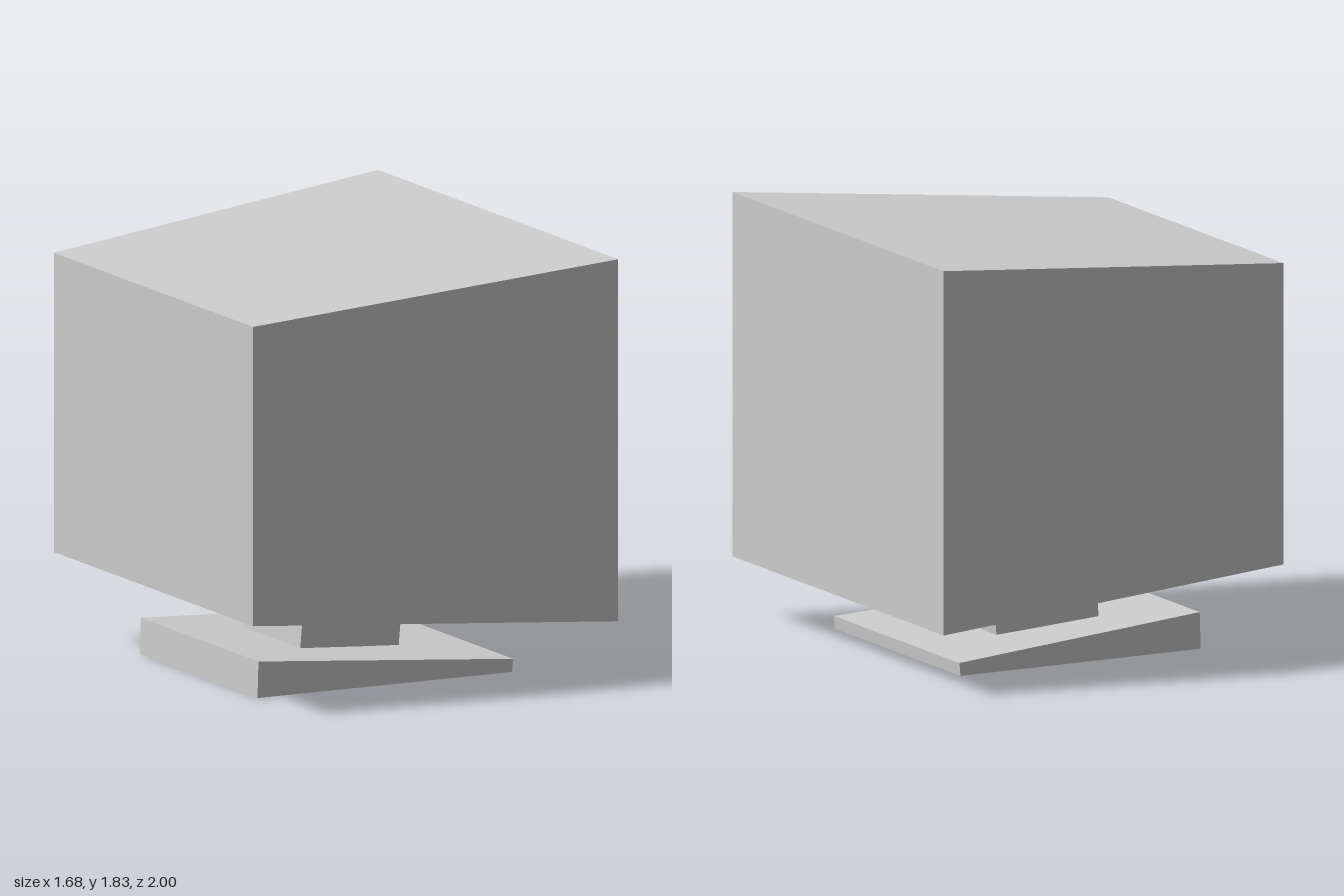
import * as THREE from 'three';

// Six-sided block: each end is { bottom: [x, y], top: [x, y], half: half depth in z }.
function taperedBlock(name, right, left, material) {
  const geometry = new THREE.BoxGeometry(1, 1, 1);
  const p = geometry.attributes.position;
  for (let i = 0; i < p.count; i++) {
    const end = p.getX(i) > 0 ? left : right;
    const [x, y] = p.getY(i) > 0 ? end.top : end.bottom;
    p.setXYZ(i, x, y, Math.sign(p.getZ(i)) * end.half);
  }
  geometry.computeVertexNormals();
  const mesh = new THREE.Mesh(geometry, material);
  mesh.name = name;
  return mesh;
}

export function createModel() {
  const grey = new THREE.MeshStandardMaterial({ color: 0xcccccc });
  grey.name = 'light grey';

  const model = new THREE.Group();
  model.name = 'monitor';

  // Casing, widening towards the screen on +x
  model.add(taperedBlock('casing',
    { bottom: [-0.84, 0.4], top: [-0.84, 1.69], half: 0.83 },
    { bottom: [0.84, 0.265], top: [0.84, 1.825], half: 1 }, grey));

  // Tilted neck between base and casing
  model.add(taperedBlock('neck',
    { bottom: [-0.265, 0.125], top: [-0.245, 0.352], half: 0.24 },
    { bottom: [0.215, 0.087], top: [0.235, 0.314], half: 0.24 }, grey));

  // Wedge-shaped foot, thin and wide at the +x end
  model.add(taperedBlock('base',
    { bottom: [-0.62, 0], top: [-0.615, 0.157], half: 0.49 },
    { bottom: [0.56, 0], top: [0.565, 0.056], half: 0.595 }, grey));

  return model;
}
